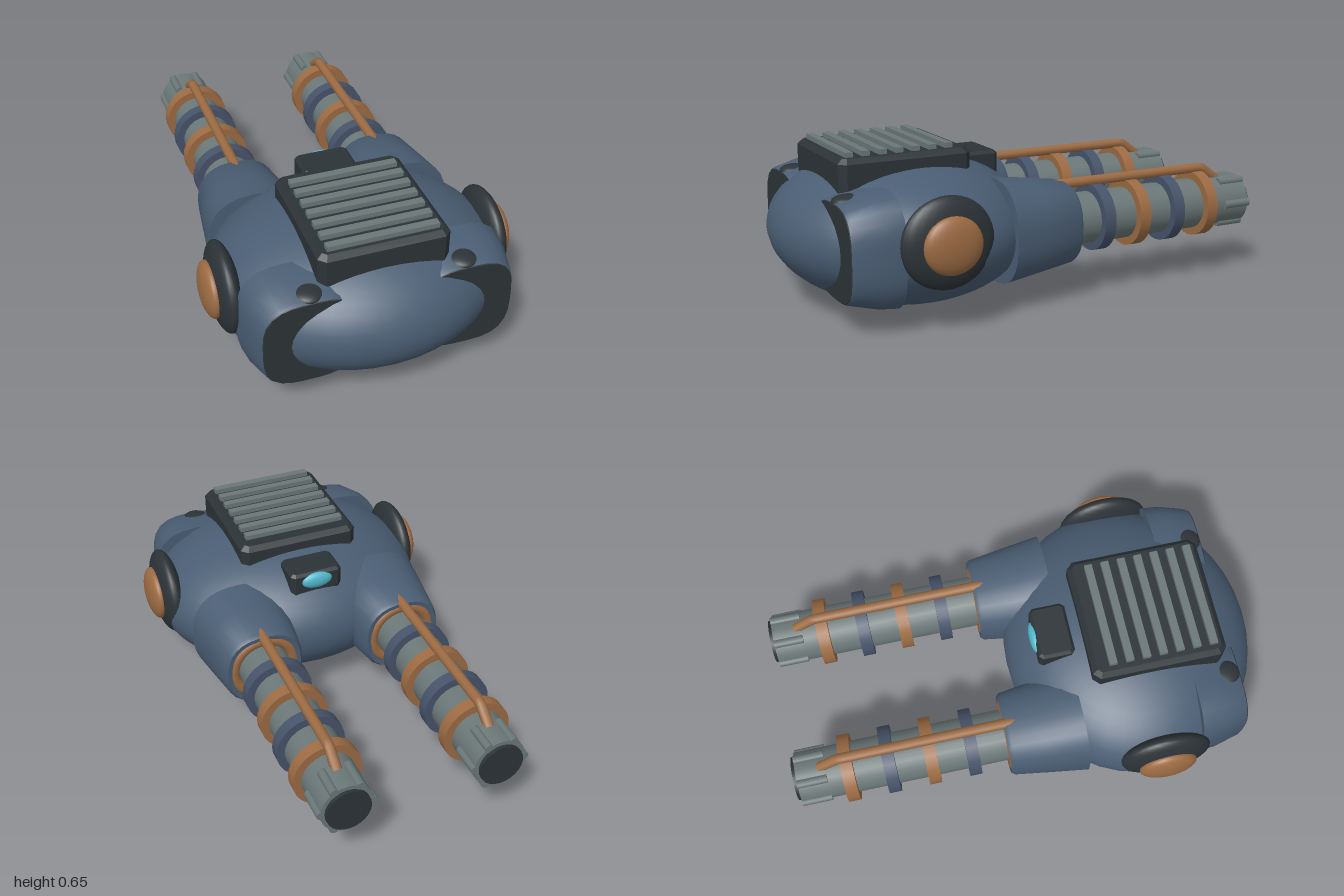
import * as THREE from 'three';
import { toCreasedNormals } from 'three/addons/utils/BufferGeometryUtils.js';

const paint = (name, color) => new THREE.MeshStandardMaterial({ name, color });

export function createModel() {
  const root = new THREE.Group();
  root.name = 'twinBarrelTurret';
  const blue = paint('slate blue', 0x4a5d73);
  const navy = paint('ring navy', 0x465369);
  const dark = paint('charcoal', 0x2c3337);
  const grey = paint('gun metal', 0x6b7777);
  const copper = paint('copper', 0x9c6b43);
  const cyan = paint('lens cyan', 0x52b8cc);

  const add = (parent, name, geo, mat, x = 0, y = 0, z = 0) => {
    const m = new THREE.Mesh(geo, mat);
    m.name = name;
    m.position.set(x, y, z);
    parent.add(m);
    return m;
  };
  const ellipsoid = (rx, ry, rz, seg = 24) =>
    new THREE.SphereGeometry(1, seg, Math.round(seg * 0.7)).scale(rx, ry, rz);
  // Cylinder along z, centred on zero
  const tubeZ = (r, len, seg = 24) => new THREE.CylinderGeometry(r, r, len, seg).rotateX(Math.PI / 2);

  // Profile of [radius, z] swept round z; n > 2 squares off the section
  const sweep = (profile, n) => {
    const g = new THREE.LatheGeometry(profile.map(([r, z]) => new THREE.Vector2(r, z)), 32);
    g.rotateX(Math.PI / 2);
    const p = g.attributes.position;
    for (let i = 0; i < p.count; i++) {
      const x = p.getX(i), y = p.getY(i), r = Math.hypot(x, y);
      if (r < 1e-6) continue;
      const k = Math.pow(Math.abs(x / r) ** n + Math.abs(y / r) ** n, -1 / n);
      p.setXY(i, x * k, y * k);
    }
    return toCreasedNormals(g, 0.6);
  };

  // Box standing on y = 0 with cut corners and a chamfered rim
  const chamferBox = (w, h, d, c) => {
    const a = w / 2 - c, b = d / 2 - c, k = c * 0.8;
    const s = new THREE.Shape([
      [-a, -b + k], [-a + k, -b], [a - k, -b], [a, -b + k],
      [a, b - k], [a - k, b], [-a + k, b], [-a, b - k],
    ].map(([x, y]) => new THREE.Vector2(x, y)));
    const g = new THREE.ExtrudeGeometry(s, {
      depth: h - 2 * c, bevelEnabled: true, bevelSize: c, bevelThickness: c, bevelSegments: 1,
    });
    return g.translate(0, 0, c).rotateX(-Math.PI / 2);
  };

  // Hull
  add(root, 'hull', ellipsoid(0.59, 0.303, 0.52, 40), blue, 0, 0.303, 0.48);

  // Roof vent with slats
  add(root, 'ventHousing', chamferBox(0.52, 0.165, 0.55, 0.02), dark, 0, 0.47, 0.54);
  for (let i = 0; i < 7; i++) {
    add(root, 'ventSlat', new THREE.BoxGeometry(0.44, 0.03, 0.032), grey, 0, 0.64, 0.35 + i * 0.069);
  }

  // Rear sensor
  add(root, 'sensorHousing', chamferBox(0.225, 0.15, 0.15, 0.012), dark, 0, 0.43, 0.15);
  add(root, 'sensorLens', ellipsoid(0.068, 0.036, 0.022), cyan, 0, 0.54, 0.078);

  for (const side of [1, -1]) {
    // Side hub
    add(root, 'hubDisc', ellipsoid(0.058, 0.18, 0.19, 28), dark, side * 0.543, 0.35, 0.51);
    add(root, 'hubCap', ellipsoid(0.042, 0.112, 0.12, 28), copper, side * 0.593, 0.35, 0.51);

    // Everything below is centred on the barrel axis
    const arm = new THREE.Group();
    arm.name = side > 0 ? 'leftGun' : 'rightGun';
    arm.position.set(side * 0.31, 0.305, 0);
    root.add(arm);

    // Front pod with dark face and top patch
    add(arm, 'frontPod', sweep([[0, 0.67], [0.228, 0.67], [0.22, 0.75], [0.193, 0.855], [0.186, 0.868]], 3.2), blue);
    add(arm, 'podFace', sweep([[0.186, 0.868], [0.183, 0.871], [0, 0.871]], 3.2), dark);
    add(arm, 'podPatch', ellipsoid(0.06, 0.025, 0.065), dark, side * -0.005, 0.187, 0.805);

    // Barrel sleeve and copper collar
    add(arm, 'barrelSleeve', sweep([[0.132, -0.06], [0.14, -0.118], [0.158, -0.12], [0.168, -0.105],
      [0.19, 0.05], [0.21, 0.2], [0, 0.2]], 2.5), blue);
    add(arm, 'barrelCollar', new THREE.TorusGeometry(0.13, 0.025, 10, 32), copper, 0, 0, -0.098);

    // Barrel with alternating rings
    add(arm, 'barrel', tubeZ(0.107, 0.87), grey, 0, 0, -0.435);
    for (let i = 0; i < 4; i++) {
      add(arm, 'barrelRing', tubeZ(0.14, 0.05, 28), i % 2 ? copper : navy, 0, 0, -0.265 - i * 0.17);
    }

    // Ribbed muzzle with dark bore
    add(arm, 'muzzle', tubeZ(0.107, 0.12), grey, 0, 0, -0.925);
    for (let i = 0; i < 6; i++) {
      const a = i * Math.PI / 3;
      add(arm, 'muzzleRib', tubeZ(0.018, 0.124, 10), grey, 0.103 * Math.cos(a), 0.103 * Math.sin(a), -0.924);
    }
    add(arm, 'muzzleBore', tubeZ(0.09, 0.05), dark, 0, 0, -0.975);

    // Feed pipe bending down into the muzzle
    const pipe = new THREE.CurvePath();
    const pts = [[0.152, 0.02], [0.152, -0.805], [0.095, -0.885]].map(([y, z]) => new THREE.Vector3(0, y, z));
    pipe.add(new THREE.LineCurve3(pts[0], pts[1]));
    pipe.add(new THREE.LineCurve3(pts[1], pts[2]));
    add(arm, 'feedPipe', new THREE.TubeGeometry(pipe, 40, 0.021, 10), copper);
  }
  return root;
}
